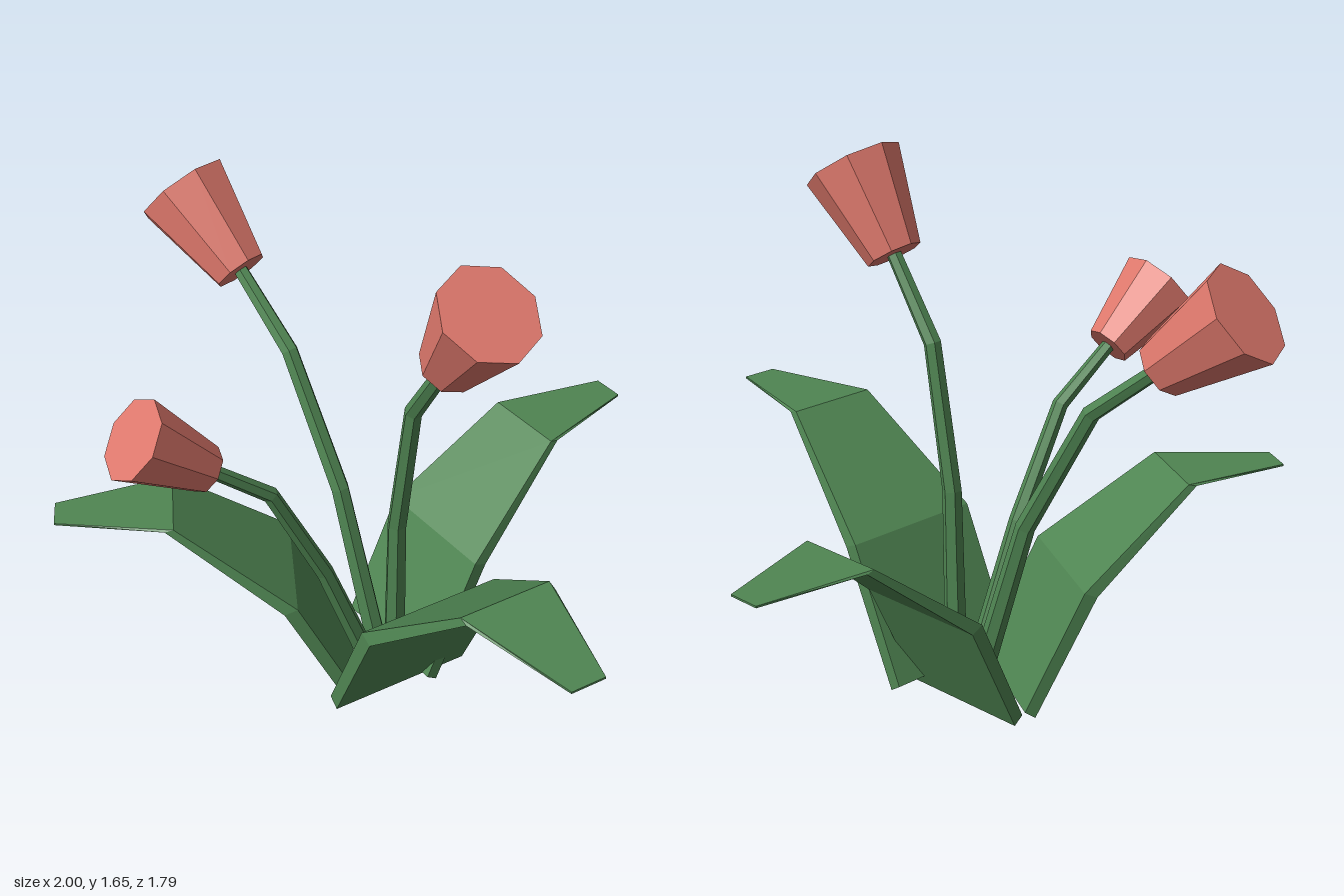
import * as THREE from 'three';

const green = new THREE.MeshStandardMaterial({ color: 0x4f8552, flatShading: true });
const red = new THREE.MeshStandardMaterial({ color: 0xde786c, flatShading: true });
const UP = new THREE.Vector3(0, 1, 0);

// Skin a row of equal-sized rings (counter-clockwise seen from the far end) and cap both ends
function loft(rings) {
  const n = rings[0].length, pos = [];
  const tri = (...pts) => pts.forEach((p) => pos.push(p.x, p.y, p.z));
  for (let i = 0; i < rings.length - 1; i++) {
    const a = rings[i], b = rings[i + 1];
    for (let j = 0; j < n; j++) {
      const k = (j + 1) % n;
      tri(a[j], a[k], b[k]);
      tri(a[j], b[k], b[j]);
    }
  }
  const first = rings[0], last = rings[rings.length - 1];
  for (let j = 1; j < n - 1; j++) {
    tri(first[0], first[j + 1], first[j]);
    tri(last[0], last[j], last[j + 1]);
  }
  const g = new THREE.BufferGeometry();
  g.setAttribute('position', new THREE.Float32BufferAttribute(pos, 3));
  g.computeVertexNormals();
  return g;
}

// Leaf: a folded slab reaching towards +z.
// Each row is half width, upper z and y, lower z and y
const leafRows = [
  [0.21, 0, 0.027, 0.033, 0.004],
  [0.21, 0.18, 0.398, 0.22, 0.38],
  [0.133, 0.53, 0.672, 0.556, 0.665],
  [0.05, 0.88, 0.662, 0.88, 0.656],
];
const leafGeometry = loft(leafRows.map(([w, uz, uy, lz, ly]) => [
  new THREE.Vector3(-w, uy, uz),
  new THREE.Vector3(-w, ly, lz),
  new THREE.Vector3(w, ly, lz),
  new THREE.Vector3(w, uy, uz),
]));

function leaf(name, x, y, z, yaw, scale) {
  const m = new THREE.Mesh(leafGeometry, green);
  m.name = name;
  m.position.set(x, y, z);
  m.rotation.y = yaw;
  m.scale.setScalar(scale);
  return m;
}

// Tulip: a bent, tapering six-sided stem with an eight-sided cup on its end
function tulip(name, points, tip, scale) {
  const group = new THREE.Group();
  group.name = name;
  const p = points.map((c) => new THREE.Vector3(...c));
  const top = new THREE.Vector3(...tip);
  const path = [...p, top];
  const radii = [0.036, 0.03, 0.027, 0.023];
  const rings = p.map((c, i) => {
    const dir = path[i + 1].clone().sub(c).normalize();
    if (i > 0) dir.add(c.clone().sub(path[i - 1]).normalize()).normalize();
    const q = new THREE.Quaternion().setFromUnitVectors(UP, dir);
    return Array.from({ length: 6 }, (_, j) => {
      const a = (j / 6) * Math.PI * 2, r = radii[i] * (0.5 + scale / 2);
      return new THREE.Vector3(Math.sin(a) * r, 0, Math.cos(a) * r).applyQuaternion(q).add(c);
    });
  });
  const stem = new THREE.Mesh(loft(rings), green);
  stem.name = 'stem';

  const base = p[p.length - 1];
  const axis = top.clone().sub(base);
  const cup = new THREE.Mesh(
    new THREE.CylinderGeometry(0.15 * scale, 0.085 * scale, axis.length(), 8), red);
  cup.name = 'flowerCup';
  cup.position.copy(base).addScaledVector(axis, 0.5);
  cup.quaternion.setFromUnitVectors(UP, axis.normalize());
  group.add(stem, cup);
  return group;
}

export function createModel() {
  const model = new THREE.Group();
  model.name = 'tulipPlant';
  model.add(
    leaf('backLeaf', -0.11, 0, -0.02, Math.PI, 1),
    leaf('frontLeaf', -0.135, 0, 0.1, -0.52, 1),
    leaf('leftLeaf', 0.025, 0.015, 0.055, Math.PI / 2 - 0.075, 1.1),
    tulip('tallTulip',
      [[0.015, 0.01, 0.05], [0.035, 0.63, 0.05], [0.115, 1.08, 0.05], [0.27, 1.318, 0.05]],
      [0.438, 1.563, 0.048], 1),
    tulip('rightTulip',
      [[-0.09, 0.01, 0.03], [-0.25, 0.595, 0.06], [-0.46, 1.0, 0.09], [-0.677, 1.183, 0.115]],
      [-0.905, 1.377, 0.165], 1),
    tulip('frontTulip',
      [[-0.02, 0.01, 0.09], [-0.05, 0.49, 0.255], [-0.075, 0.835, 0.415], [-0.108, 0.985, 0.597]],
      [-0.145, 1.147, 0.795], 0.83),
  );
  return model;
}
